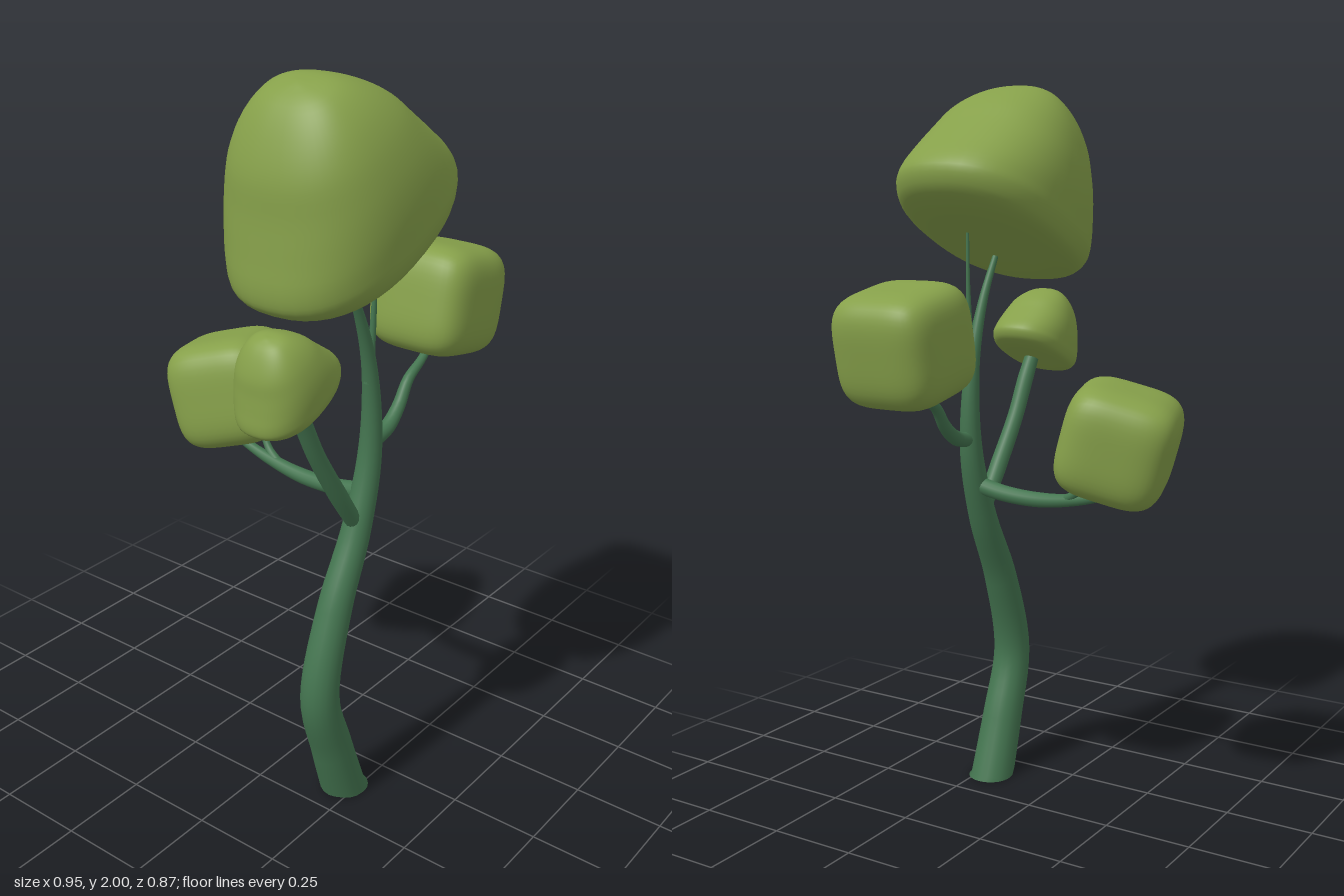
import * as THREE from 'three';
import { mergeVertices } from 'three/addons/utils/BufferGeometryUtils.js';

const bark = new THREE.MeshStandardMaterial({ color: 0x447550 });
const leaf = new THREE.MeshStandardMaterial({ color: 0x86a04a });

// Tapered tube through points [x, y, z, radius], cut off flat at the ground.
function taperedTube(name, points, segments = 24, sides = 14) {
  const curve = new THREE.CatmullRomCurve3(points.map(([x, y, z]) => new THREE.Vector3(x, y, z)));
  const geo = new THREE.TubeGeometry(curve, segments, 1, sides);
  const pos = geo.attributes.position;
  const v = new THREE.Vector3();
  for (let i = 0; i <= segments; i++) {
    const centre = curve.getPointAt(i / segments);
    const t = curve.getUtoTmapping(i / segments) * (points.length - 1);
    const k = Math.min(Math.floor(t), points.length - 2);
    const radius = THREE.MathUtils.lerp(points[k][3], points[k + 1][3], t - k);
    for (let j = 0; j <= sides; j++) {
      const n = i * (sides + 1) + j;
      v.fromBufferAttribute(pos, n).sub(centre).multiplyScalar(radius).add(centre);
      pos.setXYZ(n, v.x, Math.max(0, v.y), v.z);
    }
  }
  const mesh = new THREE.Mesh(geo, bark);
  mesh.name = name;
  return mesh;
}

// Dome crown lofted from superelliptic rings [height, half length, half depth].
function domeCrown(name, x, y, z, scale) {
  const rings = [
    [-0.052, 0, 0], [-0.05, 0.13, 0.1], [-0.044, 0.22, 0.17], [-0.022, 0.29, 0.218],
    [0.02, 0.322, 0.234], [0.06, 0.315, 0.236], [0.13, 0.276, 0.235], [0.21, 0.23, 0.222],
    [0.29, 0.187, 0.194], [0.36, 0.125, 0.148], [0.405, 0.065, 0.09], [0.424, 0, 0],
  ];
  const profile = new THREE.CatmullRomCurve3(rings.map((r) => new THREE.Vector3(...r)));
  const rows = 44, sides = 48, power = 2 / 2.4;
  const round = (c) => Math.sign(c) * Math.abs(c) ** power;
  const positions = [], index = [];
  for (let i = 0; i <= rows; i++) {
    const p = profile.getPoint(i / rows);
    for (let j = 0; j < sides; j++) {
      const a = (j / sides) * Math.PI * 2;
      positions.push(p.y * round(Math.cos(a)), p.x, p.z * round(Math.sin(a)));
      if (i === rows) continue;
      const b = i * sides + j, c = i * sides + ((j + 1) % sides);
      index.push(b, b + sides, c, c, b + sides, c + sides);
    }
  }
  let geo = new THREE.BufferGeometry();
  geo.setAttribute('position', new THREE.Float32BufferAttribute(positions, 3));
  geo.setIndex(index);
  geo = mergeVertices(geo, 1e-5);
  geo.computeVertexNormals();
  const mesh = new THREE.Mesh(geo, leaf);
  mesh.name = name;
  mesh.position.set(x, y, z);
  mesh.rotation.z = 0.47;
  mesh.scale.setScalar(scale);
  return mesh;
}

// Soft cube crown: a subdivided box pulled onto a superellipsoid.
function cubeCrown(name, position, rotation, half) {
  let geo = new THREE.BoxGeometry(2, 2, 2, 16, 16, 16);
  geo.deleteAttribute('normal');
  geo.deleteAttribute('uv');
  geo = mergeVertices(geo);
  const pos = geo.attributes.position;
  const v = new THREE.Vector3();
  for (let i = 0; i < pos.count; i++) {
    v.fromBufferAttribute(pos, i);
    v.multiplyScalar((v.x ** 4 + v.y ** 4 + v.z ** 4) ** -0.25);
    pos.setXYZ(i, v.x, v.y, v.z);
  }
  geo.computeVertexNormals();
  const mesh = new THREE.Mesh(geo, leaf);
  mesh.name = name;
  mesh.position.set(...position);
  mesh.rotation.set(...rotation);
  mesh.scale.setScalar(half);
  return mesh;
}

export function createModel() {
  const tree = new THREE.Group();
  tree.name = 'tree';

  // Curved trunk and the flat cut at its foot
  tree.add(taperedTube('trunk', [
    [-0.125, -0.04, 0.213, 0.064], [-0.195, 0.17, 0.213, 0.058], [-0.248, 0.36, 0.213, 0.053],
    [-0.185, 0.6, 0.212, 0.047], [-0.092, 0.8, 0.212, 0.04], [-0.035, 1.0, 0.211, 0.032],
    [-0.04, 1.23, 0.21, 0.021], [-0.095, 1.41, 0.21, 0.013], [-0.17, 1.55, 0.21, 0.008],
  ], 48, 20));
  const foot = new THREE.Mesh(new THREE.CircleGeometry(0.064, 20), bark);
  foot.name = 'trunkFoot';
  foot.rotation.x = Math.PI / 2;
  foot.position.set(-0.138, 0.001, 0.213);
  tree.add(foot);

  // Branches
  tree.add(taperedTube('topTwig', [
    [-0.045, 1.2, 0.21, 0.015], [-0.032, 1.32, 0.21, 0.009], [-0.027, 1.46, 0.212, 0.006], [-0.028, 1.62, 0.213, 0.004],
  ]));
  tree.add(taperedTube('rightBranch', [
    [-0.09, 0.81, 0.212, 0.022], [-0.17, 0.93, 0.21, 0.025], [-0.25, 1.07, 0.2, 0.023],
    [-0.3, 1.18, 0.195, 0.023], [-0.34, 1.26, 0.19, 0.02],
  ]));
  tree.add(taperedTube('leftBranch', [
    [-0.04, 1.03, 0.211, 0.022], [0.04, 1.045, 0.21, 0.021], [0.1, 1.085, 0.205, 0.018],
    [0.15, 1.145, 0.2, 0.015], [0.22, 1.18, 0.195, 0.012], [0.3, 1.22, 0.18, 0.01],
  ]));
  tree.add(taperedTube('backBranch', [
    [-0.06, 0.9, 0.212, 0.025], [-0.057, 0.883, 0.12, 0.023], [-0.053, 0.878, 0.0, 0.021],
    [-0.045, 0.894, -0.13, 0.016], [-0.035, 0.93, -0.27, 0.01],
  ]));
  tree.add(taperedTube('backTwig', [
    [-0.047, 0.89, -0.09, 0.014], [-0.035, 0.915, -0.13, 0.011], [-0.02, 0.97, -0.17, 0.008],
  ]));

  // Leaf crowns
  tree.add(domeCrown('topCrown', -0.118, 1.614, 0.19, 1));
  tree.add(domeCrown('rightCrown', -0.335, 1.254, 0.188, 0.46));
  tree.add(cubeCrown('leftCrown', [0.317, 1.33, 0.175], [0, 0, -0.2], 0.15));
  tree.add(cubeCrown('backCrown', [-0.028, 1.065, -0.262], [-0.28, 0.33, 0], 0.15));
  return tree;
}
